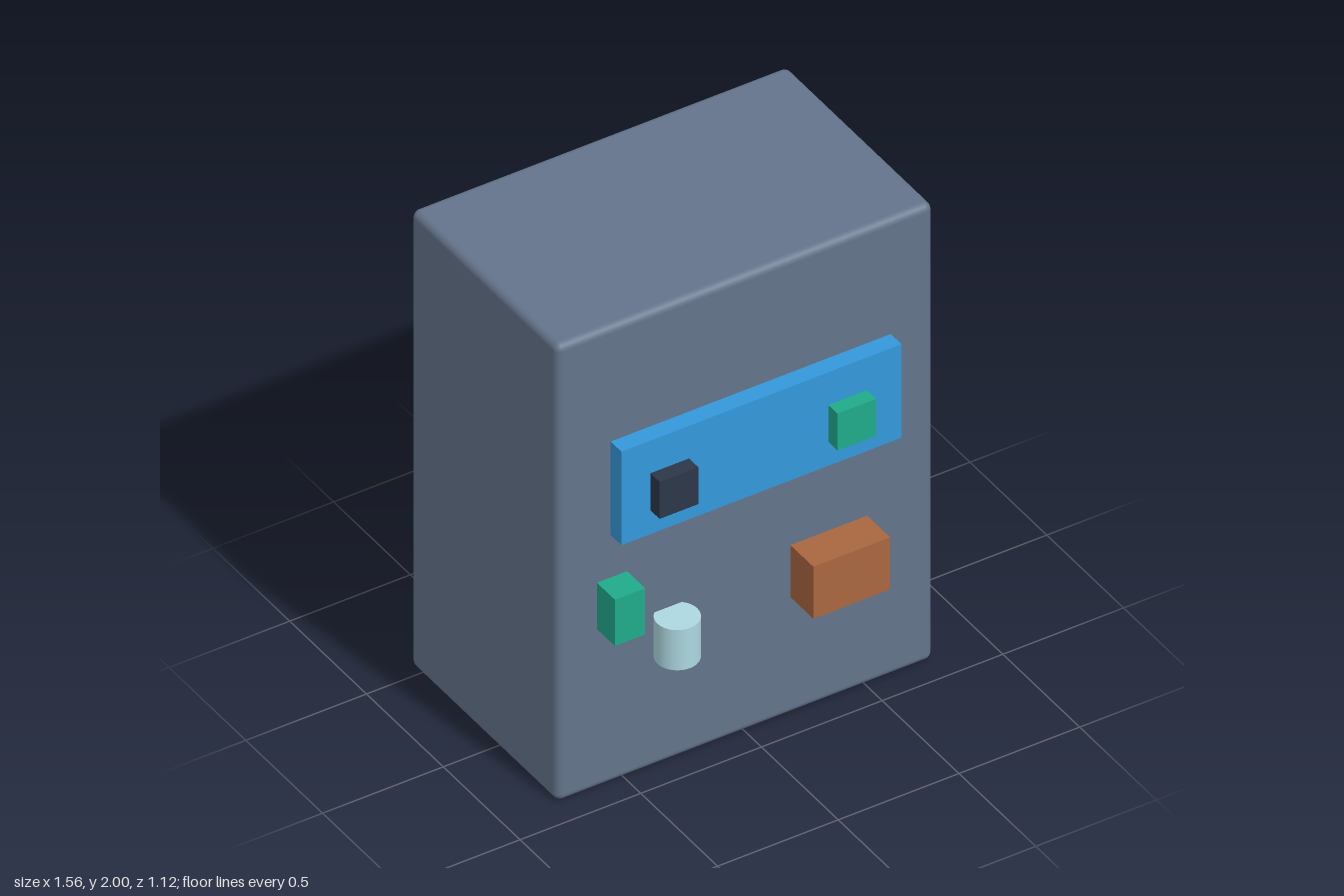
import * as THREE from 'three';
import { RoundedBoxGeometry } from 'three/addons/geometries/RoundedBoxGeometry.js';

const BACK = -0.56, FRONT = 0.395;

function addPart(group, name, geometry, color, x, y, z) {
  const mesh = new THREE.Mesh(geometry, new THREE.MeshStandardMaterial({ color }));
  mesh.name = name;
  mesh.position.set(x, y, z);
  group.add(mesh);
  return mesh;
}

// Box given by its extents along each axis
function addBlock(group, name, color, [x0, x1], [y0, y1], [z0, z1]) {
  return addPart(group, name, new THREE.BoxGeometry(x1 - x0, y1 - y0, z1 - z0), color,
    (x0 + x1) / 2, (y0 + y1) / 2, (z0 + z1) / 2);
}

export function createModel() {
  const model = new THREE.Group();
  model.name = 'cabinet';

  // Main housing with softly rounded edges
  addPart(model, 'housing', new RoundedBoxGeometry(1.56, 2, FRONT - BACK, 4, 0.03),
    0x64748b, 0, 1, (FRONT + BACK) / 2);

  // Control panel standing just off the front, with its two buttons
  const panel = new THREE.Group();
  panel.name = 'controlPanel';
  model.add(panel);
  addBlock(panel, 'panelPlate', 0x3498db, [-0.58, 0.58], [1.12, 1.53], [0.43, 0.5]);
  addBlock(panel, 'darkButton', 0x2d3748, [-0.46, -0.3], [1.225, 1.387], [0.47, 0.56]);
  addBlock(panel, 'greenButton', 0x20ab8b, [0.277, 0.437], [1.225, 1.387], [0.47, 0.56]);

  // Fittings set into the lower front
  addBlock(model, 'sideSwitch', 0x20ab8b, [-0.615, -0.49], [0.7, 0.903], [0.36, 0.512]);
  addBlock(model, 'tray', 0xa9673f, [0.187, 0.505], [0.514, 0.742], [0.36, 0.544]);
  addPart(model, 'cup', new THREE.CylinderGeometry(0.083, 0.083, 0.176, 32),
    0xadd8e0, -0.32, 0.588, 0.455);

  return model;
}
